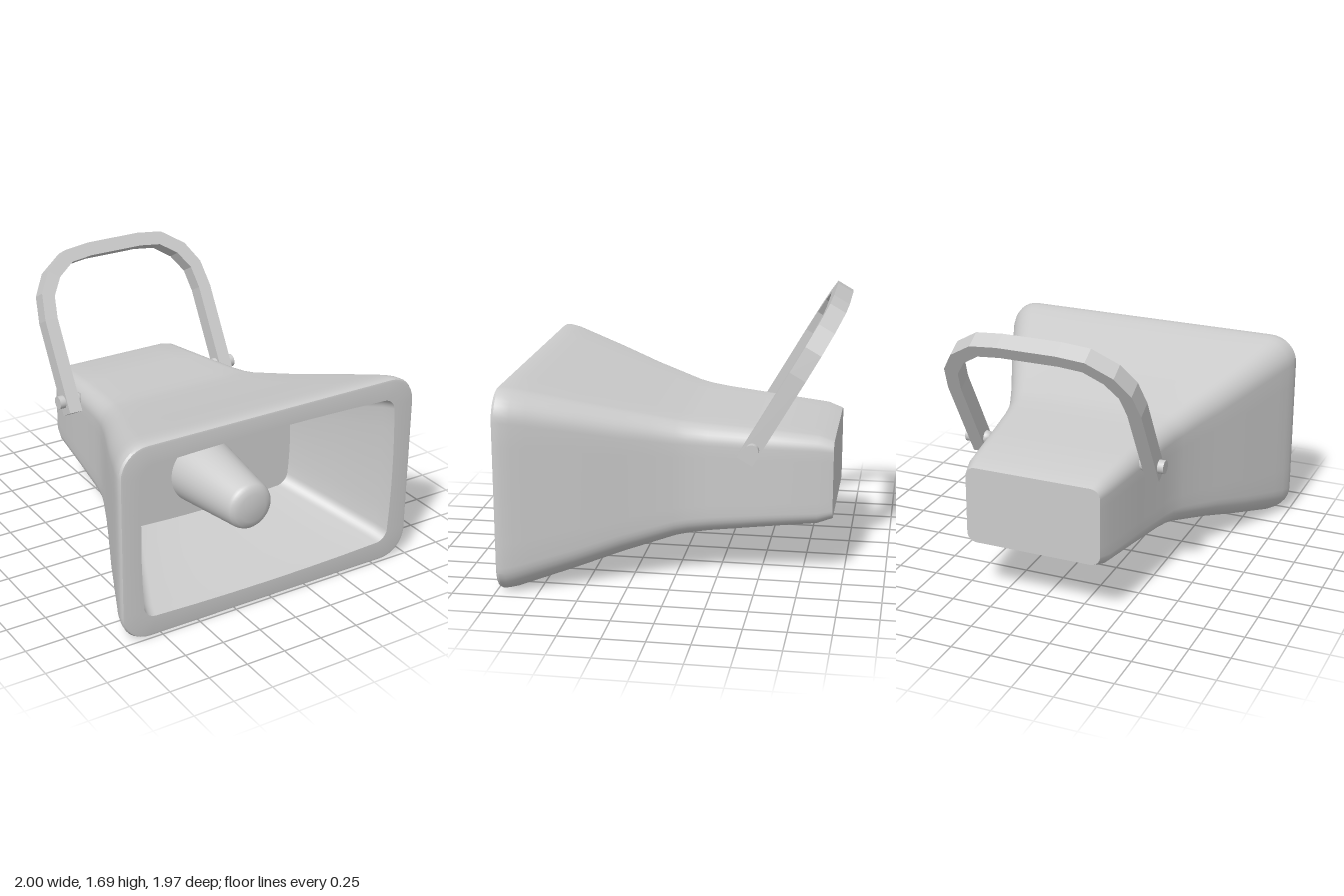
import * as THREE from 'three';
import { toCreasedNormals } from 'three/addons/utils/BufferGeometryUtils.js';

const grey = () => new THREE.MeshStandardMaterial({ color: 0xcccccc });
const CENTRE_Y = 0.612;

function addMesh(parent, name, geometry) {
  const mesh = new THREE.Mesh(geometry, grey());
  mesh.name = name;
  parent.add(mesh);
  return mesh;
}

// Rounded rectangle ring, counter-clockwise from the front, with optionally bowed sides
function ring({ z, w, h, r, bow = 0 }) {
  const ARC = 8, EDGE = 6, pts = [];
  const corners = [[1, 1], [-1, 1], [-1, -1], [1, -1]];
  const onArc = (k, t) => {
    const a = (k + t) * Math.PI / 2;
    const [sx, sy] = corners[k % 4];
    return new THREE.Vector3(sx * (w - r) + r * Math.cos(a), sy * (h - r) + r * Math.sin(a), z);
  };
  for (let k = 0; k < 4; k++) {
    for (let i = 0; i <= ARC; i++) pts.push(onArc(k, i / ARC));
    const from = onArc(k, 1), to = onArc(k + 1, 0);
    for (let i = 1; i < EDGE; i++) pts.push(from.clone().lerp(to, i / EDGE));
  }
  for (const p of pts) {
    const nx = p.x / w, ny = p.y / h;
    p.x -= bow * nx * ny * ny;
    p.y -= bow * ny * nx * nx;
  }
  return pts;
}

// Skin a list of rings and close both ends
function loft(sections) {
  const rings = sections.map(ring);
  const n = rings[0].length, positions = [], index = [];
  for (const pts of rings) for (const p of pts) positions.push(p.x, p.y, p.z);
  const first = rings.length * n, last = first + 1, end = (rings.length - 1) * n;
  positions.push(0, 0, sections[0].z, 0, 0, sections.at(-1).z);
  for (let i = 0; i < n; i++) {
    const j = (i + 1) % n;
    for (let s = 0; s < rings.length - 1; s++) {
      const a = s * n, b = a + n;
      index.push(a + i, a + j, b + j, a + i, b + j, b + i);
    }
    index.push(first, j, i, last, end + i, end + j);
  }
  const g = new THREE.BufferGeometry();
  g.setAttribute('position', new THREE.Float32BufferAttribute(positions, 3));
  g.setIndex(index);
  return toCreasedNormals(g, 0.6);
}

export function createModel() {
  const model = new THREE.Group();
  model.name = 'hornSpeaker';

  // Flared shell: outside from back to front, over the rim, then inside to the back plate
  const shell = addMesh(model, 'hornShell', loft([
    { z: -0.93, w: 0.425, h: 0.24, r: 0.06 },
    { z: -0.84, w: 0.452, h: 0.272, r: 0.08 },
    { z: -0.5, w: 0.497, h: 0.305, r: 0.1 },
    { z: -0.2, w: 0.538, h: 0.332, r: 0.11 },
    { z: -0.08, w: 0.562, h: 0.346, r: 0.115 },
    { z: 0, w: 0.588, h: 0.36, r: 0.12 },
    { z: 0.15, w: 0.65, h: 0.4, r: 0.13 },
    { z: 0.3, w: 0.718, h: 0.438, r: 0.14 },
    { z: 0.55, w: 0.835, h: 0.51, r: 0.15 },
    { z: 0.8, w: 0.943, h: 0.58, r: 0.165 },
    { z: 0.88, w: 0.978, h: 0.602, r: 0.17 },
    { z: 0.93, w: 0.994, h: 0.61, r: 0.17 },
    { z: 0.965, w: 1, h: 0.611, r: 0.17 },
    { z: 0.98, w: 0.994, h: 0.606, r: 0.17 },
    { z: 0.983, w: 0.98, h: 0.594, r: 0.16 },
    { z: 0.983, w: 0.875, h: 0.5, r: 0.07, bow: 0.02 },
    { z: 0.9, w: 0.85, h: 0.483, r: 0.07, bow: 0.02 },
    { z: 0.6, w: 0.72, h: 0.405, r: 0.07, bow: 0.02 },
    { z: 0.31, w: 0.588, h: 0.33, r: 0.07, bow: 0.02 },
  ]));
  shell.position.y = CENTRE_Y;

  // Tapered driver plug with a softened tip
  const plugProfile = [
    [0.217, 0], [0.15, 0.53], [0.143, 0.55], [0.125, 0.567], [0.09, 0.578], [0, 0.584],
  ].map(([x, y]) => new THREE.Vector2(x, y));
  const plug = addMesh(model, 'driverPlug',
    toCreasedNormals(new THREE.LatheGeometry(plugProfile, 40), 0.7));
  plug.rotation.x = Math.PI / 2;
  plug.position.set(-0.065, 0.567, 0.3);

  // Carrying handle: a flat faceted arch leaning backwards
  const outer = [[0.605, 0], [0.605, 0.6], [0.58, 0.77], [0.5, 0.905], [0.35, 1.01], [0.18, 1.03]];
  const inner = [[0.52, 0], [0.52, 0.6], [0.5, 0.74], [0.43, 0.85], [0.32, 0.928], [0.18, 0.945]];
  const mirrored = (side) => side.map(([x, y]) => [-x, y]).reverse();
  const arch = new THREE.Shape(
    [...outer, ...mirrored(outer), ...mirrored(inner).reverse(), ...inner.slice().reverse()]
      .map(([x, y]) => new THREE.Vector2(x, y)));
  const archGeo = new THREE.ExtrudeGeometry(arch, { depth: 0.107, bevelEnabled: false });
  archGeo.translate(0, 0, -0.0535);
  const handle = addMesh(model, 'handle', archGeo);
  handle.rotation.x = -Math.PI / 6;
  handle.position.set(0, 0.77, -0.423);

  // Pivot pins through the handle ends, domed on the inside
  for (const [side, name] of [[1, 'leftPivotPin'], [-1, 'rightPivotPin']]) {
    const pinProfile = [
      [0, -0.035], [0.022, -0.03], [0.036, -0.017], [0.041, 0], [0.041, 0.135], [0, 0.135],
    ].map(([x, y]) => new THREE.Vector2(x, y));
    const pin = addMesh(model, name,
      toCreasedNormals(new THREE.LatheGeometry(pinProfile, 24), 0.7));
    pin.rotation.z = -side * Math.PI / 2;
    pin.position.set(side * 0.508, 0.843, -0.468);
  }
  return model;
}
